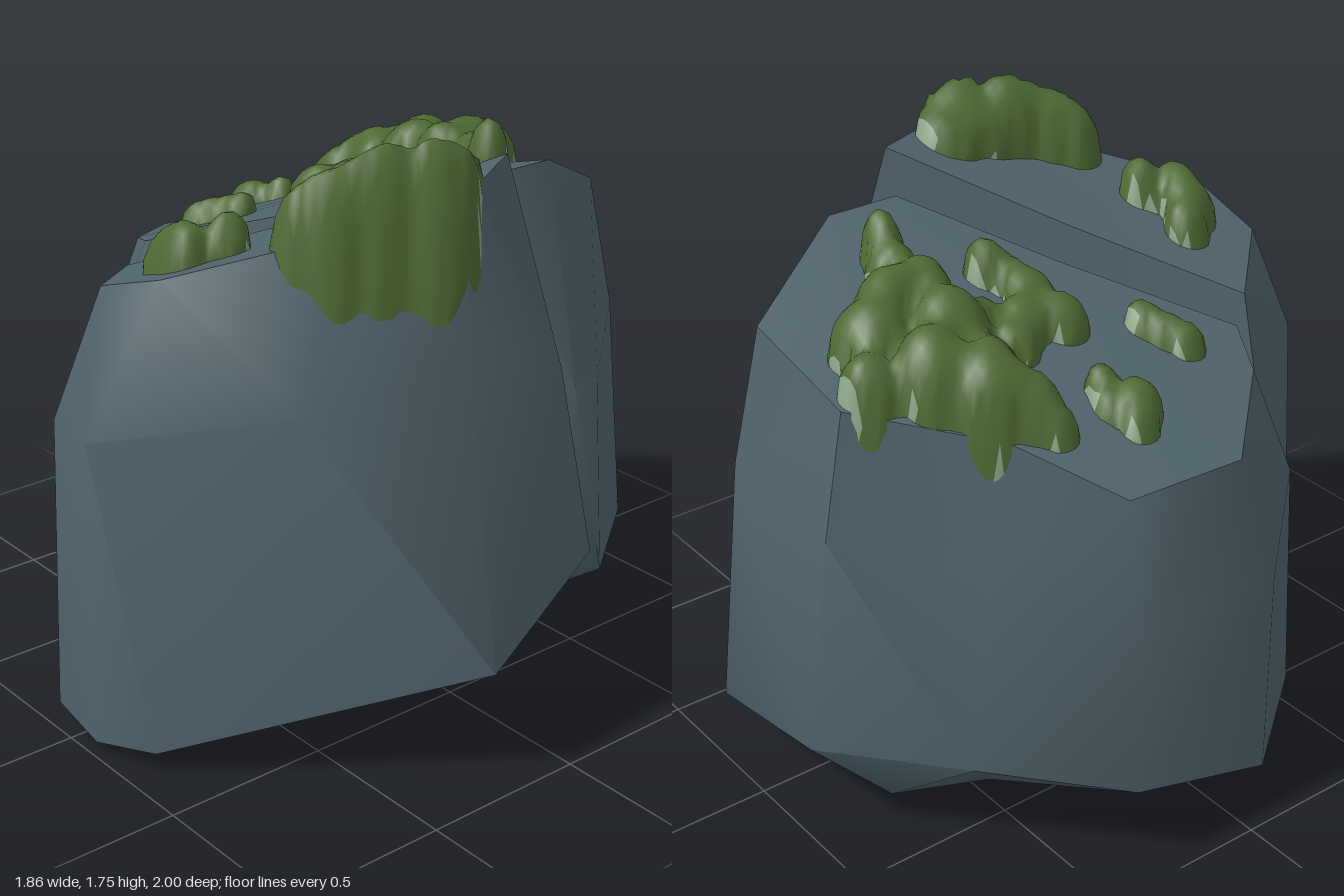
import * as THREE from 'three';
import { toCreasedNormals } from 'three/addons/utils/BufferGeometryUtils.js';

const mat = (name, color) => {
  const m = new THREE.MeshStandardMaterial({ color });
  m.name = name;
  return m;
};

// Skin stacked rings of corners into a closed boulder with soft faces and sharp ridges
function boulder(name, rings, topCentre, material) {
  const n = rings[0].length, index = [];
  const pts = rings.flat().map(p => new THREE.Vector3(...p));
  const baseCentre = new THREE.Vector3();
  pts.slice(0, n).forEach(p => baseCentre.addScaledVector(p, 1 / n));
  baseCentre.y = 0;
  const base = pts.length, top = base + 1, last = (rings.length - 1) * n;
  pts.push(baseCentre, new THREE.Vector3(...topCentre));
  const plane = new THREE.Plane();
  for (let i = 0; i < n; i++) {
    const j = (i + 1) % n;
    for (let r = 0; r < rings.length - 1; r++) {
      const a = r * n + i, b = r * n + j, c = b + n, d = a + n;
      // Split each quad along the diagonal that bulges outward
      plane.setFromCoplanarPoints(pts[a], pts[d], pts[c]);
      if (plane.distanceToPoint(pts[b]) <= 0) index.push(a, d, c, a, c, b);
      else index.push(a, d, b, d, c, b);
    }
    index.push(base, i, j, top, last + j, last + i);
  }
  const geo = new THREE.BufferGeometry().setFromPoints(pts);
  geo.setIndex(index);
  const mesh = new THREE.Mesh(toCreasedNormals(geo, 0.9), material);
  mesh.name = name;
  return mesh;
}

// Drape a lumpy sheet over a boulder; lumps are [x, z, radius, height]
function mossPatch(name, rock, lumps, materials) {
  const step = 0.025, ray = new THREE.Raycaster(), down = new THREE.Vector3(0, -1, 0);
  const x0 = Math.min(...lumps.map(l => l[0] - l[2])) - step;
  const x1 = Math.max(...lumps.map(l => l[0] + l[2])) + step;
  const z0 = Math.min(...lumps.map(l => l[1] - l[2])) - step;
  const z1 = Math.max(...lumps.map(l => l[1] + l[2])) + step;
  const nx = Math.ceil((x1 - x0) / step), nz = Math.ceil((z1 - z0) / step);
  const pos = [], inside = [], valid = [], green = [], pale = [];
  for (let j = 0; j <= nz; j++) for (let i = 0; i <= nx; i++) {
    let x = x0 + i * step, z = z0 + j * step, sum = 0, nearest = Infinity, rim;
    for (const [lx, lz, r, lh] of lumps) {
      const d = Math.hypot(x - lx, z - lz);
      if (d < r) sum += (lh * (1 - (d / r) ** 2) ** 0.55) ** 4;
      if (d - r < nearest) {
        nearest = d - r;
        rim = [lx + (x - lx) * r / d, lz + (z - lz) * r / d];
      }
    }
    // Pull outer corners onto the outline so the border is clean
    const isIn = sum > 0;
    if (!isIn) [x, z] = rim;
    ray.set(new THREE.Vector3(x, 3, z), down);
    const hit = ray.intersectObject(rock)[0];
    const y = hit ? hit.point.y : 1;
    inside.push(isIn);
    valid.push(y > 1.05);
    pos.push(x, y + (isIn ? sum ** 0.25 + 0.01 : -0.008), z);
  }
  for (let j = 0; j < nz; j++) for (let i = 0; i < nx; i++) {
    const a = j * (nx + 1) + i, b = a + 1, d = a + nx + 1, c = d + 1;
    if (![a, b, c, d].every(k => valid[k]) || ![a, b, c, d].some(k => inside[k])) continue;
    // Dry pale fringe along parts of the rear edge
    const fringe = !inside[a] && !inside[b] && Math.sin(i * 0.9 + j * 0.5) > -0.2;
    (fringe ? pale : green).push(a, d, c, a, c, b);
  }
  const geo = new THREE.BufferGeometry();
  geo.setAttribute('position', new THREE.Float32BufferAttribute(pos, 3));
  geo.setIndex([...green, ...pale]);
  geo.addGroup(0, green.length, 0);
  geo.addGroup(green.length, pale.length, 1);
  geo.computeVertexNormals();
  const mesh = new THREE.Mesh(geo, materials);
  mesh.name = name;
  return mesh;
}

export function createModel() {
  const model = new THREE.Group();
  model.name = 'splitMossyRock';
  const stone = mat('slate stone', 0x50636b);
  const moss = [mat('moss green', 0x4e6a34), mat('pale lichen', 0x8aa488)];

  // Rear boulder: base, lower ridge, shoulder, top edge
  const rear = boulder('rearBoulder', [
    [[0.22, 0.01, -0.5], [0.2, 0.02, -0.42], [-0.1, 0.01, -0.12], [-0.44, 0.05, 0.25], [-0.55, 0.06, 0.28],
      [-0.62, 0.07, 0.08], [-0.52, 0.06, -0.25], [-0.4, 0.04, -0.48], [-0.25, 0.01, -0.72], [0.1, 0, -0.76]],
    [[0.6, 0.28, -0.51], [0.54, 0.3, -0.44], [-0.01, 0.3, -0.03], [-0.5, 0.12, 0.45], [-0.63, 0.11, 0.48],
      [-0.93, 0.14, 0.1], [-0.92, 0.26, -0.36], [-0.6, 0.29, -0.68], [-0.28, 0.32, -1], [0.24, 0.2, -0.97]],
    [[0.57, 0.9, -0.49], [0.58, 0.9, -0.39], [0.08, 0.9, 0.05], [-0.42, 0.85, 0.51], [-0.62, 0.85, 0.45],
      [-0.89, 0.75, 0.14], [-0.88, 0.75, -0.34], [-0.55, 0.85, -0.58], [-0.27, 0.95, -0.91], [0.24, 0.95, -0.88]],
    [[0.4, 1.53, -0.43], [0.4, 1.53, -0.2], [0, 1.39, 0.08], [-0.42, 1.25, 0.4], [-0.58, 1.2, 0.32],
      [-0.83, 1.12, 0.05], [-0.81, 1.12, -0.32], [-0.53, 1.22, -0.49], [-0.25, 1.31, -0.83], [0.22, 1.36, -0.79]],
  ], [-0.1, 1.4, -0.35], stone);

  // Front boulder, leaning away from the split
  const front = boulder('frontBoulder', [
    [[0.42, 0.19, -0.13], [0.18, 0.02, 0.2], [0.2, 0.025, 0.65], [0.1, 0.02, 0.9], [-0.1, 0.03, 0.88],
      [-0.5, 0.13, 0.53], [0, 0.02, 0.12]],
    [[0.66, 0.4, -0.4], [0.93, 0.34, 0.23], [0.31, 0.065, 0.92], [0.12, 0.04, 0.99], [-0.1, 0.06, 0.97],
      [-0.53, 0.26, 0.56], [0.06, 0.3, 0.08]],
    [[0.62, 1, -0.29], [0.745, 1.25, 0.2], [0.58, 1.08, 0.62], [0.15, 0.97, 1], [-0.08, 0.95, 0.95],
      [-0.38, 0.85, 0.56], [0.12, 1, 0.15]],
    [[0.52, 1.63, -0.15], [0.64, 1.61, 0.08], [0.49, 1.51, 0.46], [0.22, 1.4, 0.79], [-0.05, 1.31, 0.8],
      [-0.28, 1.25, 0.56], [0.12, 1.42, 0.22]],
  ], [0.22, 1.43, 0.42], stone);
  model.add(rear, front);

  // Moss growing over the tops
  model.add(
    mossPatch('rearMainMoss', rear, [
      [-0.24, -0.73, 0.09, 0.1], [-0.1, -0.63, 0.12, 0.14], [-0.31, -0.57, 0.12, 0.17], [-0.03, -0.53, 0.1, 0.16],
      [-0.42, -0.47, 0.12, 0.16], [-0.49, -0.39, 0.09, 0.12], [-0.56, -0.36, 0.06, 0.07], [-0.2, -0.44, 0.12, 0.15],
      [-0.35, -0.42, 0.09, 0.12], [-0.04, -0.43, 0.1, 0.14], [0.09, -0.43, 0.08, 0.1], [0.18, -0.4, 0.065, 0.13],
      [-0.28, -0.28, 0.07, 0.06], [-0.17, -0.31, 0.06, 0.06], [-0.22, -0.2, 0.08, 0.07],
      [-0.25, -0.1, 0.08, 0.08], [-0.13, -0.12, 0.08, 0.08], [0, -0.17, 0.07, 0.1], [-0.05, -0.13, 0.07, 0.07]], moss),
    mossPatch('rearSideMoss', rear, [
      [-0.63, -0.14, 0.06, 0.06], [-0.58, -0.1, 0.07, 0.07], [-0.55, -0.17, 0.055, 0.05],
      [-0.49, -0.15, 0.055, 0.06]], moss),
    mossPatch('rearEdgeMoss', rear, [[-0.44, 0.19, 0.06, 0.06], [-0.39, 0.16, 0.06, 0.06], [-0.33, 0.13, 0.06, 0.06]], moss),
    mossPatch('frontTallMoss', front, [
      [0.54, 0.1, 0.11, 0.09], [0.6, 0.16, 0.11, 0.13], [0.56, 0.22, 0.13, 0.14], [0.53, 0.32, 0.11, 0.19],
      [0.48, 0.42, 0.105, 0.17], [0.42, 0.48, 0.085, 0.15], [0.63, 0.21, 0.085, 0.14]], moss),
    mossPatch('frontSmallMoss', front, [
      [-0.01, 0.57, 0.07, 0.09], [0.06, 0.63, 0.09, 0.11], [0.13, 0.65, 0.08, 0.11], [0.18, 0.55, 0.07, 0.11]], moss),
  );
  return model;
}
